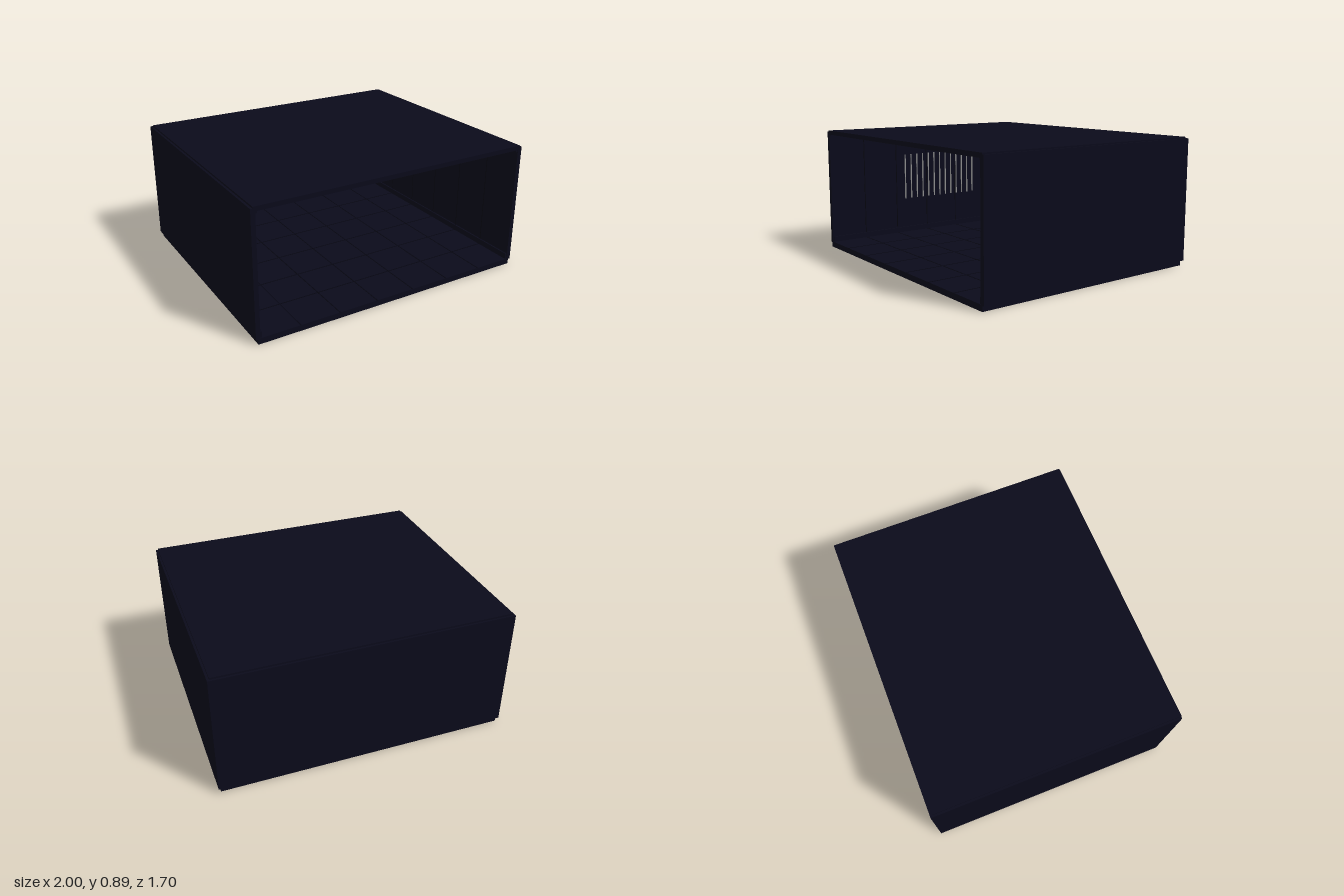
import * as THREE from 'three';

const flat = (name, color) => {
  const m = new THREE.MeshStandardMaterial({ color });
  m.name = name;
  return m;
};

export function createModel() {
  const room = new THREE.Group();
  room.name = 'room';
  const navy = flat('dark navy', 0x0a0a1a);
  const seam = flat('seam black', 0x050510);
  const grey = flat('strip grey', 0x8c8c8c);

  // Box given by its lower and upper corners
  const box = (name, mat, [x0, y0, z0], [x1, y1, z1]) => {
    const mesh = new THREE.Mesh(new THREE.BoxGeometry(x1 - x0, y1 - y0, z1 - z0), mat);
    mesh.position.set((x0 + x1) / 2, (y0 + y1) / 2, (z0 + z1) / 2);
    mesh.name = name;
    room.add(mesh);
  };

  // Shell, open at the front
  box('floor', navy, [-0.985, 0, -0.835], [0.985, 0.04, 0.85]);
  box('ceiling', navy, [-0.985, 0.86, -0.835], [0.985, 0.89, 0.85]);
  box('backWall', navy, [-1, 0.035, -0.85], [1, 0.88, -0.82]);
  for (const s of [-1, 1]) {
    const a = s * 0.97, b = s;
    box('sideWall', navy, [Math.min(a, b), 0.035, -0.85], [Math.max(a, b), 0.88, 0.85]);
    // Skirting and cornice along each side
    const c = s * 0.958;
    for (const [name, y0, y1] of [['sideSkirting', 0.04, 0.08], ['sideCornice', 0.845, 0.86]]) {
      box(name, navy, [Math.min(a, c), y0, -0.82], [Math.max(a, c), y1, 0.845]);
    }
  }
  box('backSkirting', navy, [-0.958, 0.04, -0.82], [0.958, 0.08, -0.808]);
  box('backCornice', navy, [-0.958, 0.845, -0.82], [0.958, 0.86, -0.808]);
  box('skirtingLine', seam, [-0.958, 0.076, -0.808], [0.958, 0.081, -0.806]);

  // Floor tile joints and wall panel joints
  for (let i = 0; i < 6; i++) {
    const x = -0.7 + i * 0.28;
    box('floorJoint', seam, [x - 0.003, 0.04, -0.808], [x + 0.003, 0.042, 0.85]);
    box('backWallJoint', seam, [x - 0.003, 0.08, -0.82], [x + 0.003, 0.845, -0.816]);
  }
  for (let i = 0; i < 5; i++) {
    const z = 0.57 - i * 0.28;
    box('floorJoint', seam, [-0.958, 0.04, z - 0.003], [0.958, 0.042, z + 0.003]);
    for (const x of [-0.968, 0.968]) {
      box('sideWallJoint', seam, [x - 0.002, 0.08, z - 0.003], [x + 0.002, 0.845, z + 0.003]);
    }
  }

  // Wide panel on the back wall with a pale edge and a rail above
  box('wallPanel', navy, [-0.04, 0.34, -0.82], [0.8, 0.73, -0.8]);
  box('panelLowerLine', seam, [-0.03, 0.338, -0.8], [0.8, 0.345, -0.798]);
  box('panelEdge', grey, [-0.041, 0.35, -0.802], [-0.035, 0.725, -0.796]);
  box('rail', seam, [-0.08, 0.815, -0.82], [0.83, 0.822, -0.812]);

  // Tall pale strip beside the panel
  box('tallStrip', grey, [0.839, 0.04, -0.806], [0.846, 0.595, -0.8]);

  // Row of thin upright rods at the left side of the opening
  for (let i = 0; i < 13; i++) {
    const z = 0.23 - i * 0.054;
    box('rod', grey, [-0.934, 0.32, z - 0.004], [-0.927, 0.675, z + 0.004]);
  }
  return room;
}
